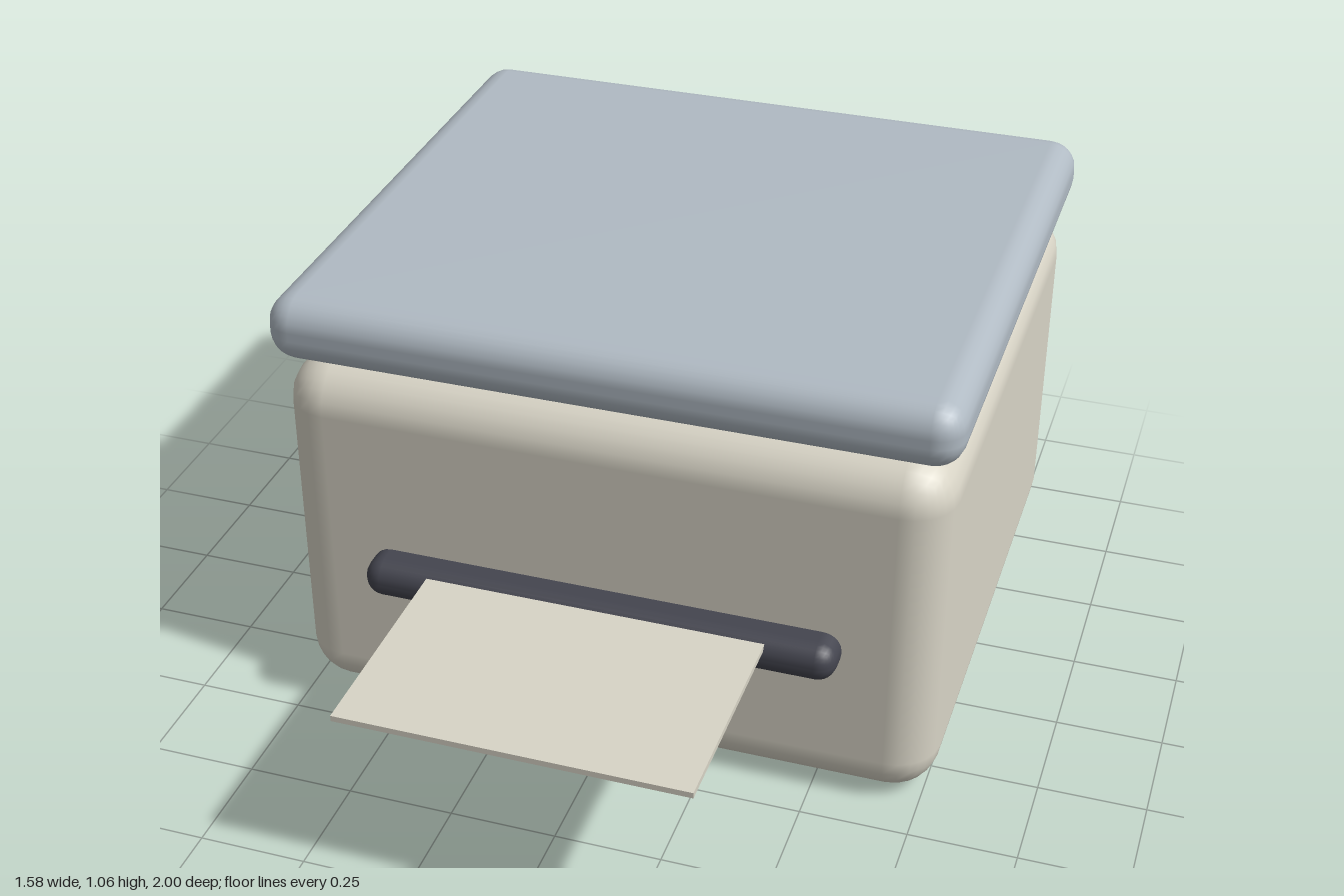
import * as THREE from 'three';
import { RoundedBoxGeometry } from 'three/addons/geometries/RoundedBoxGeometry.js';

export function createModel() {
  const model = new THREE.Group();
  model.name = 'printer';

  const material = (name, color) => {
    const m = new THREE.MeshStandardMaterial({ color });
    m.name = name;
    return m;
  };
  const cream = material('cream casing', 0xd8d4c6);
  const blueGrey = material('blue grey lid', 0xb0bac3);
  const charcoal = material('charcoal slot', 0x44454f);

  // Places a part by its lowest and highest corner
  const addPart = (name, mat, min, max, radius = 0) => {
    const [w, h, d] = max.map((v, i) => v - min[i]);
    const geometry = radius
      ? new RoundedBoxGeometry(w, h, d, 3, radius)
      : new THREE.BoxGeometry(w, h, d);
    const mesh = new THREE.Mesh(geometry, mat);
    mesh.name = name;
    mesh.position.set(...max.map((v, i) => (v + min[i]) / 2));
    model.add(mesh);
  };

  // Casing and the overhanging lid, separated by a thin gap
  addPart('body', cream, [-0.776, 0, -0.982], [0.776, 0.887, 0.41], 0.111);
  addPart('lid', blueGrey, [-0.79, 0.903, -1], [0.79, 1.058, 0.425], 0.067);

  // Output slot with the sheet coming out of it
  addPart('outputSlot', charcoal, [-0.559, 0.355, 0.37], [0.559, 0.448, 0.492], 0.044);
  addPart('paperSheet', cream, [-0.4, 0.422, 0.4], [0.4, 0.436, 1]);

  return model;
}
